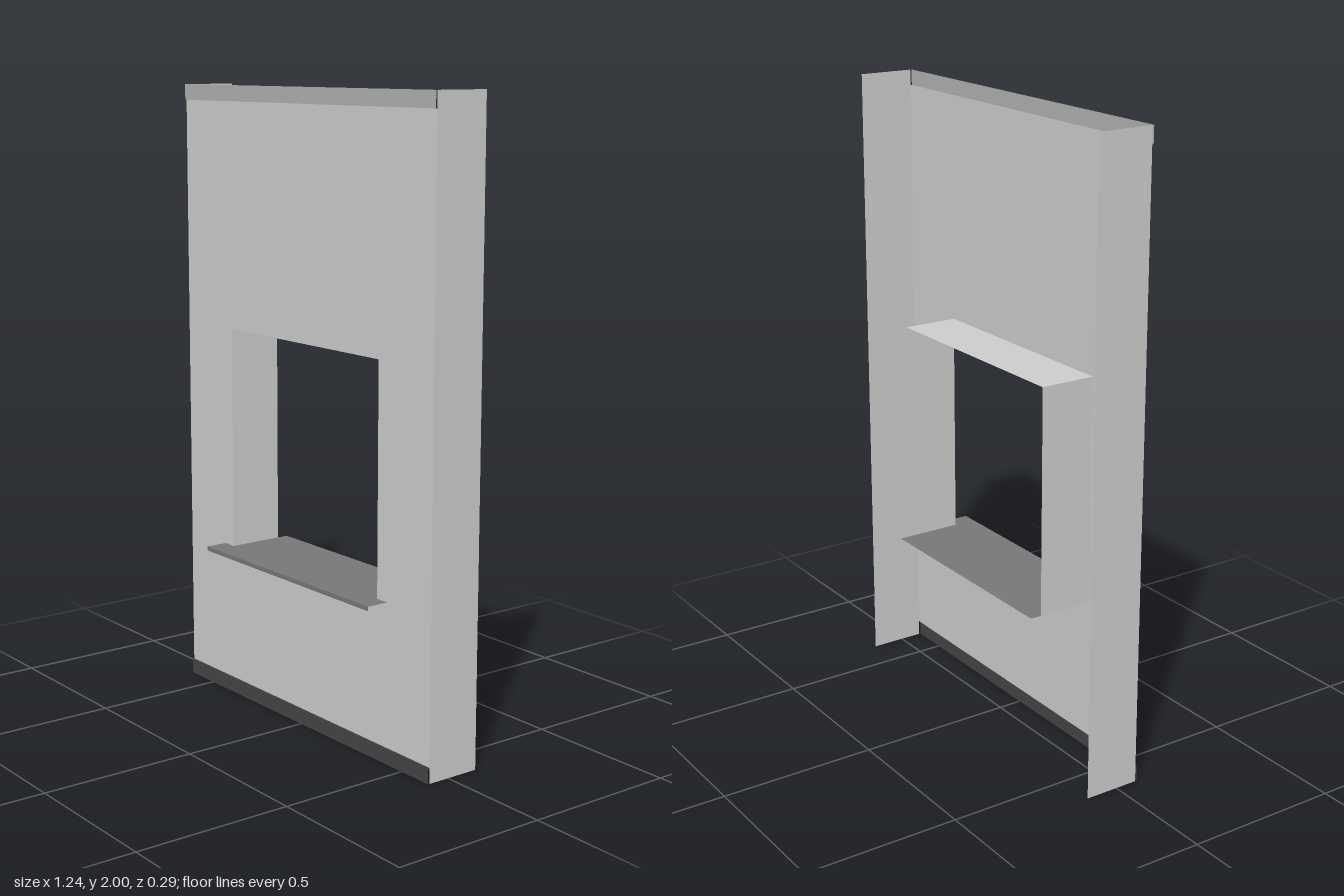
import * as THREE from 'three';

const W = 0.622;                 // half width of the panel
const FRONT = 0.072, BACK = -0.108;
const OPEN = 0.375, SILL_Y = 0.504, HEAD_Y = 1.226;
const BAND = 0.05, BAND_Z = 0.077;

const sheet = (color) => new THREE.MeshStandardMaterial({ color, side: THREE.DoubleSide });

export function createModel() {
  const group = new THREE.Group();
  const grey = sheet(0xcccccc), bandGrey = sheet(0xb0b0b0);
  const sillGrey = sheet(0x777777), dark = sheet(0x444444);

  const add = (name, geometry, material = grey) => {
    const mesh = new THREE.Mesh(geometry, material);
    mesh.name = name;
    group.add(mesh);
    return mesh;
  };
  const upright = (w, y0, y1, z) =>
    new THREE.PlaneGeometry(w, y1 - y0).translate(0, (y0 + y1) / 2, z);
  const level = (w, z0, z1, y) =>
    new THREE.PlaneGeometry(w, z1 - z0).rotateX(-Math.PI / 2).translate(0, y, (z0 + z1) / 2);
  const sideways = (x, y0, y1) =>
    new THREE.PlaneGeometry(FRONT - BACK, y1 - y0)
      .rotateY(Math.sign(x) * Math.PI / 2)
      .translate(x, (y0 + y1) / 2, (FRONT + BACK) / 2);

  // Front panel with the window opening
  const face = new THREE.Shape([
    new THREE.Vector2(-W, BAND), new THREE.Vector2(W, BAND),
    new THREE.Vector2(W, 2 - BAND), new THREE.Vector2(-W, 2 - BAND),
  ]);
  face.holes.push(new THREE.Path([
    new THREE.Vector2(-OPEN, SILL_Y), new THREE.Vector2(-OPEN, HEAD_Y),
    new THREE.Vector2(OPEN, HEAD_Y), new THREE.Vector2(OPEN, SILL_Y),
  ]));
  add('frontPanel', new THREE.ShapeGeometry(face).translate(0, 0, FRONT));

  // Joint bands at top and bottom, each with a narrow ledge to the panel
  for (const [name, y0, y1, ledgeY, material] of [
    ['topBand', 2 - BAND, 2, 2 - BAND, bandGrey],
    ['bottomBand', 0, BAND, BAND, dark],
  ]) {
    add(name, upright(2 * W, y0, y1, BAND_Z), material);
    add(name + 'Ledge', level(2 * W, FRONT, BAND_Z, ledgeY), material);
  }

  // Outer side returns and window jambs
  for (const [side, s] of [['left', 1], ['right', -1]]) {
    add(side + 'SideReturn', sideways(s * W, 0, 2));
    add(side + 'Jamb', sideways(s * OPEN, SILL_Y, HEAD_Y));
  }

  // Window head
  add('windowHead', level(2 * OPEN, BACK, FRONT, HEAD_Y));

  // Sill: narrow inside the opening, wider in front, with a drip lip
  const SILL_W = 0.422, SILL_Z = 0.144;
  const half = [[OPEN, -SILL_Z], [OPEN, FRONT], [SILL_W, FRONT], [SILL_W, SILL_Z]];
  const outline = [...half, ...half.map(([x, z]) => [-x, z]).reverse()];
  const sill = new THREE.Shape(outline.map(([x, z]) => new THREE.Vector2(x, -z)));
  add('sill', new THREE.ShapeGeometry(sill).rotateX(-Math.PI / 2).translate(0, SILL_Y, 0), sillGrey);
  add('sillLip', upright(2 * SILL_W, SILL_Y - 0.014, SILL_Y, SILL_Z), sillGrey);

  return group;
}
